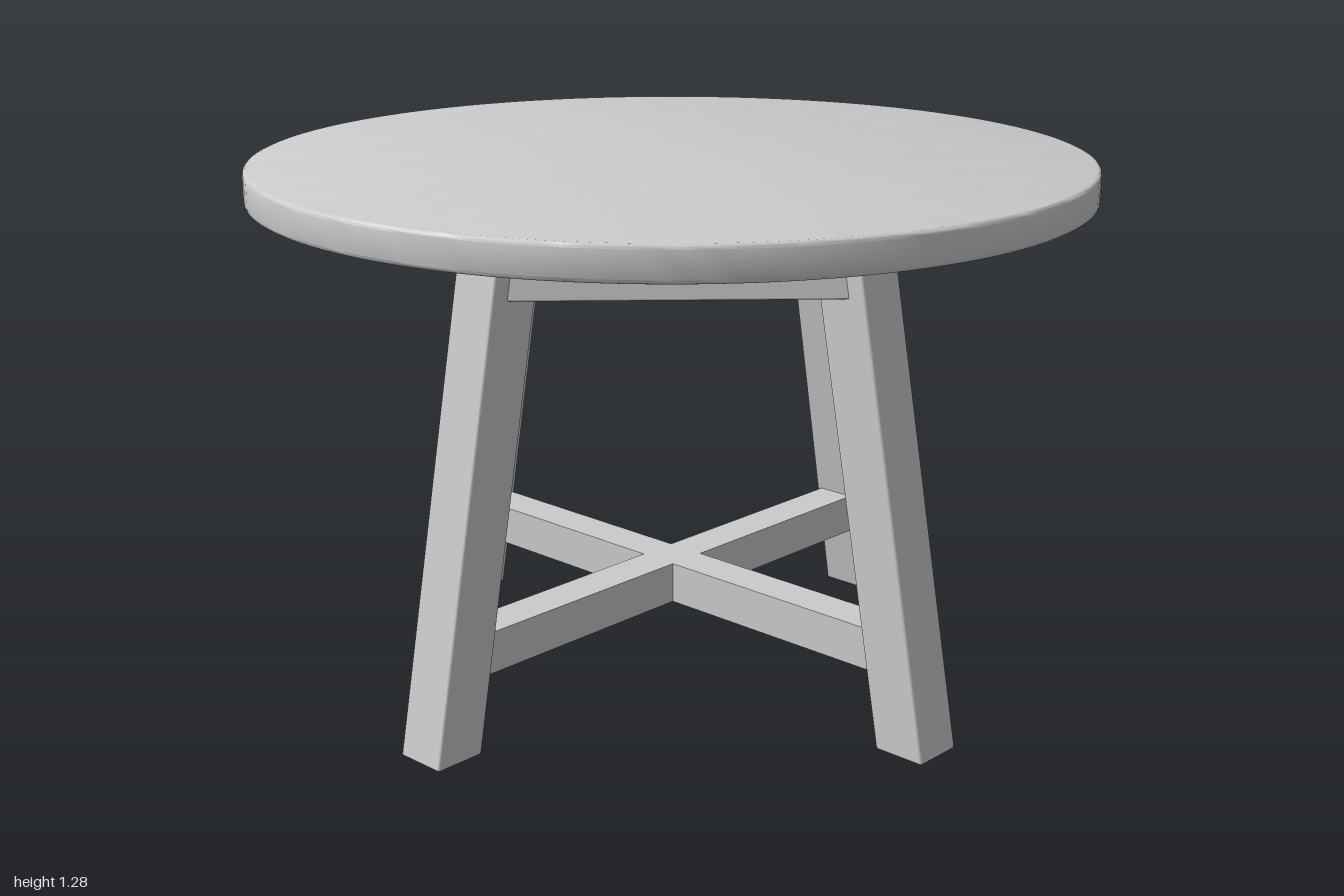
import * as THREE from 'three';
import { RoundedBoxGeometry } from 'three/addons/geometries/RoundedBoxGeometry.js';
import { toCreasedNormals } from 'three/addons/utils/BufferGeometryUtils.js';

const material = new THREE.MeshStandardMaterial({ color: 0xcccccc });
const LEAN = 0.188; // inward shift of a leg per unit of height
const LEG = 0.13; // leg thickness
const FOOT = 0.77; // distance of a leg's centre from the axis at the floor
const TOP_Y = 1.205;
const TOP_H = 0.08;

function addMesh(parent, name, geometry) {
  const mesh = new THREE.Mesh(geometry, material);
  mesh.name = name;
  parent.add(mesh);
  return mesh;
}

// Round top with a softly rounded rim
function tabletopGeometry() {
  const r = 0.01, profile = [[0, 0]];
  for (const [cy, start] of [[r, -Math.PI / 2], [TOP_H - r, 0]]) {
    for (let i = 0; i <= 3; i++) {
      const a = start + (i / 3) * Math.PI / 2;
      profile.push([1 - r + r * Math.cos(a), cy + r * Math.sin(a)]);
    }
  }
  profile.push([0, TOP_H]);
  const points = profile.map(([x, y]) => new THREE.Vector2(x, y));
  return toCreasedNormals(new THREE.LatheGeometry(points, 128), 0.6);
}

// Square post sheared inward, so that both of its ends stay level
function legGeometry() {
  const height = TOP_Y + 0.005;
  const geometry = new RoundedBoxGeometry(LEG, height, LEG, 2, 0.006);
  geometry.translate(0, height / 2, 0);
  geometry.applyMatrix4(new THREE.Matrix4().set(
    1, -LEAN, 0, FOOT,
    0, 1, 0, 0,
    0, 0, 1, 0,
    0, 0, 0, 1));
  return geometry;
}

// Lower rail whose ends are cut to the slope of the legs
function stretcherGeometry() {
  const geometry = new THREE.BoxGeometry(2, 0.1, 0.1).translate(0, 0.23, 0);
  const p = geometry.attributes.position;
  for (let i = 0; i < p.count; i++) {
    p.setX(i, Math.sign(p.getX(i)) * (FOOT - LEG / 2 + 0.006 - LEAN * p.getY(i)));
  }
  geometry.computeVertexNormals();
  return geometry;
}

export function createModel() {
  const table = new THREE.Group();
  table.name = 'roundTable';

  addMesh(table, 'tabletop', tabletopGeometry()).position.y = TOP_Y;

  // Four splayed legs, one on each axis
  const leg = legGeometry();
  for (let i = 0; i < 4; i++) addMesh(table, 'leg', leg).rotation.y = i * Math.PI / 2;

  // Four aprons joining neighbouring legs, tilted with the plane of the legs
  const apronY = 1.105;
  const apron = new RoundedBoxGeometry(0.78, 0.136, 0.12, 2, 0.004);
  apron.rotateX(-Math.atan(LEAN / Math.SQRT2));
  apron.translate(0, apronY, (FOOT - LEAN * apronY) / Math.SQRT2);
  for (let i = 0; i < 4; i++) {
    addMesh(table, 'apron', apron).rotation.y = Math.PI / 4 + i * Math.PI / 2;
  }

  // Crossed stretchers between opposite legs
  const stretcher = stretcherGeometry();
  for (let i = 0; i < 2; i++) addMesh(table, 'stretcher', stretcher).rotation.y = i * Math.PI / 2;

  return table;
}
